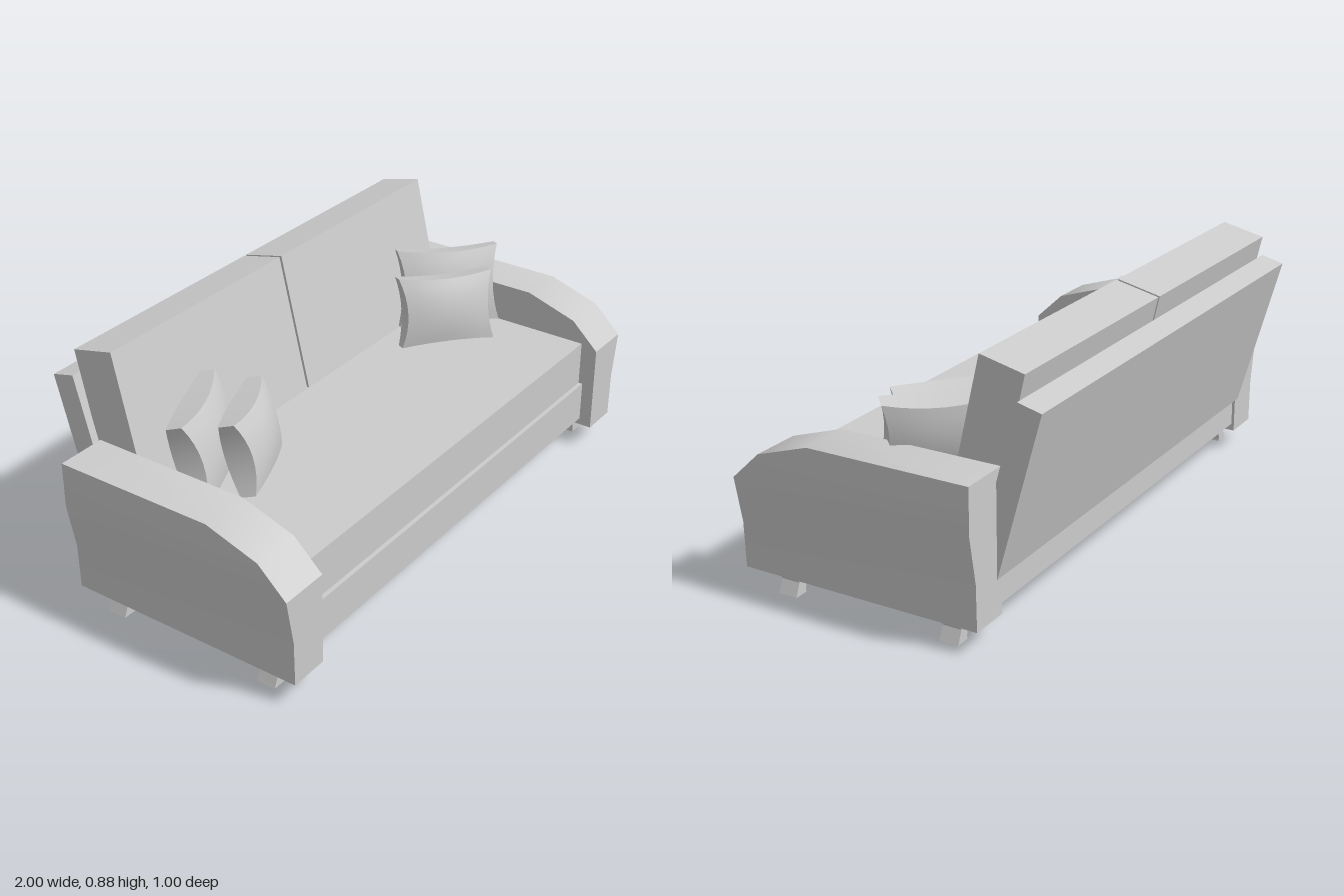
import * as THREE from 'three';
import { toCreasedNormals } from 'three/addons/utils/BufferGeometryUtils.js';

const material = new THREE.MeshStandardMaterial({ color: 0xcccccc });

function part(name, geometry, parent) {
  const mesh = new THREE.Mesh(geometry, material);
  mesh.name = name;
  parent.add(mesh);
  return mesh;
}

// Box given by its lower and upper limits on each axis
function block([x0, x1], [y0, y1], [z0, z1]) {
  return new THREE.BoxGeometry(x1 - x0, y1 - y0, z1 - z0)
    .translate((x0 + x1) / 2, (y0 + y1) / 2, (z0 + z1) / 2);
}

// Side profile of [z, y] points, extruded across x
function slab(profile, width, x = 0) {
  const shape = new THREE.Shape(profile.map(([z, y]) => new THREE.Vector2(z, y)));
  return new THREE.ExtrudeGeometry(shape, { depth: width, bevelEnabled: false })
    .translate(0, 0, -width / 2).rotateY(-Math.PI / 2).translate(x, 0, 0);
}

// Stack of rectangles [y, inner x, outer x, back z, front z], bottom to top
function stack(levels, side, crease) {
  const n = levels.length - 1;
  const geometry = new THREE.BoxGeometry(2, 2, 2, 1, n, 1);
  const p = geometry.attributes.position;
  for (let i = 0; i < p.count; i++) {
    const [y, inner, outer, back, front] = levels[Math.round((p.getY(i) + 1) / 2 * n)];
    p.setXYZ(i, side * (p.getX(i) * side > 0 ? outer : inner), y, p.getZ(i) > 0 ? front : back);
  }
  return toCreasedNormals(geometry, crease);
}

// Cushion with pulled-out corners, hollow sides and a full middle
function pillowGeometry(width, height) {
  const geometry = new THREE.BoxGeometry(2, 2, 2, 8, 8, 2);
  const p = geometry.attributes.position;
  for (let i = 0; i < p.count; i++) {
    const u = p.getX(i), v = p.getY(i), w = p.getZ(i);
    const thickness = 0.025 + 0.04 * (1 - (u * u + v * v) / 2);
    p.setXYZ(i,
      width / 2 * u * (1 - 0.13 * (1 - v * v)),
      height / 2 * v * (1 - 0.1 * (1 - u * u)),
      thickness * w);
  }
  return toCreasedNormals(geometry, 0.7);
}

export function createModel() {
  const sofa = new THREE.Group();
  sofa.name = 'sofa';

  // Base and seat, with the base standing slightly proud
  part('base', block([-0.83, 0.83], [0.105, 0.25], [-0.335, 0.455]), sofa);
  part('seat', block([-0.83, 0.83], [0.25, 0.41], [-0.335, 0.44]), sofa);

  // Leaning back panel and two back cushions
  part('backPanel', slab([[-0.26, 0.2], [-0.345, 0.2], [-0.495, 0.745], [-0.415, 0.765]], 1.71), sofa);
  for (const side of [-1, 1]) {
    part('backCushion', slab([[-0.167, 0.41], [-0.327, 0.41], [-0.425, 0.84], [-0.275, 0.875]],
      0.823, side * 0.4165), sofa);
  }

  // Arms flare outward and slope down at the front
  const armLevels = [
    [0.08, 0.83, 0.967, -0.345, 0.5],
    [0.235, 0.83, 0.97, -0.345, 0.5],
    [0.395, 0.83, 1, -0.345, 0.5],
    [0.49, 0.83, 1, -0.345, 0.4],
    [0.55, 0.83, 1, -0.345, 0.215],
  ];
  for (const side of [-1, 1]) {
    part('arm', stack(armLevels, side, 0.6), sofa);
    // Short splayed legs
    for (const z of [-0.2275, 0.3675]) {
      part('leg', stack([
        [0, 0.888, 0.938, z - 0.033, z + 0.033],
        [0.012, 0.89, 0.933, z - 0.033, z + 0.033],
        [0.045, 0.882, 0.92, z - 0.033, z + 0.033],
        [0.082, 0.868, 0.93, z - 0.033, z + 0.033],
      ], side, 0.6), sofa);
    }
  }

  // Loose pillows: x, z, width, height, turn
  const pillows = [
    [-0.64, -0.09, 0.37, 0.28, 0.42],
    [-0.525, 0.005, 0.32, 0.25, 0.4],
    [0.715, -0.065, 0.37, 0.28, -0.77],
    [0.575, 0.015, 0.34, 0.25, -0.7],
  ];
  for (const [x, z, width, height, turn] of pillows) {
    const pillow = part('pillow', pillowGeometry(width, height), sofa);
    pillow.rotation.set(-0.25, turn, 0, 'YXZ');
    pillow.position.set(x, 0.412 + height / 2, z);
  }
  return sofa;
}
